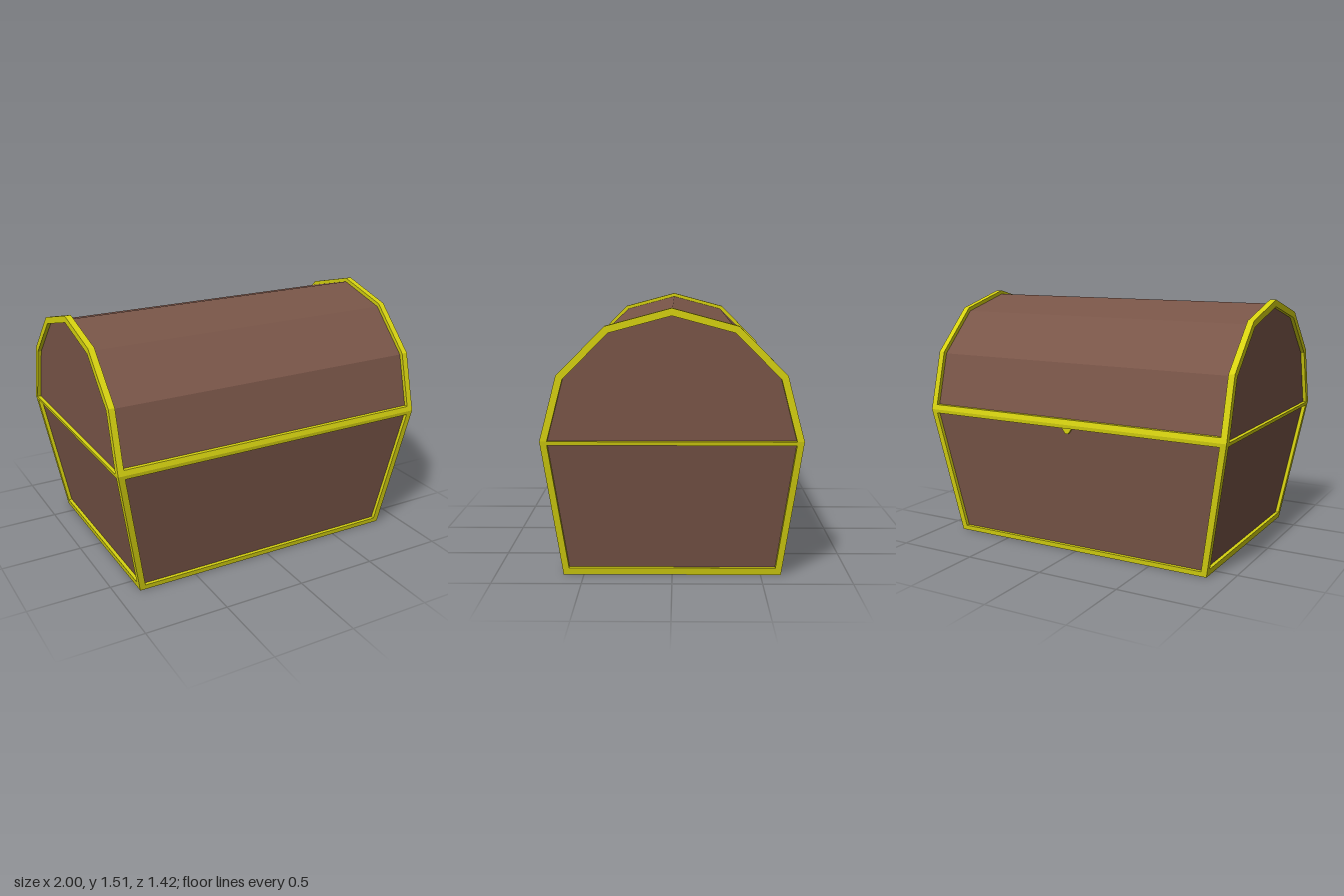
import * as THREE from 'three';

const WOOD = new THREE.MeshStandardMaterial({ color: 0x795548, flatShading: true });
const BRASS = new THREE.MeshStandardMaterial({ color: 0xd6d210, flatShading: true });

const W = 1, D = 0.71, H = 0.8;   // half width, half depth and height of the base rim
const T = 0.037;                  // trim width
const INSET = 0.022;              // how far the wood sits behind the trim

export function createModel() {
  const chest = new THREE.Group();
  chest.name = 'chest';

  const add = (parent, name, geometry, material) => {
    const mesh = new THREE.Mesh(geometry, material);
    mesh.name = name;
    parent.add(mesh);
    return mesh;
  };

  // Box given by its bounds at rim size, then tapered inwards towards the floor
  const taperedBox = (x0, x1, y0, y1, z0, z1) => {
    const g = new THREE.BoxGeometry(x1 - x0, y1 - y0, z1 - z0);
    g.translate((x0 + x1) / 2, (y0 + y1) / 2, (z0 + z1) / 2);
    const p = g.attributes.position;
    for (let i = 0; i < p.count; i++) {
      const k = 1 - p.getY(i) / H;
      p.setX(i, p.getX(i) - Math.sign(p.getX(i)) * 0.14 * k);
      p.setZ(i, p.getZ(i) - Math.sign(p.getZ(i)) * 0.095 * k);
    }
    g.computeVertexNormals();
    return g;
  };

  // Side profile (z, y) extruded along x between x0 and x1
  const alongX = (shape, x0, x1) => {
    const g = new THREE.ExtrudeGeometry(shape, { depth: x1 - x0, bevelEnabled: false });
    g.rotateY(Math.PI / 2);
    g.translate(x0, 0, 0);
    return g;
  };

  // Six-sided half round above the rim
  const arc = (r) => Array.from({ length: 7 }, (_, i) => {
    const a = (i * Math.PI) / 6;
    return new THREE.Vector2(r * Math.cos(a), H + r * Math.sin(a));
  });

  // Base: wooden body with trim on all twelve edges
  const base = new THREE.Group();
  base.name = 'base';
  chest.add(base);
  const bx = W - INSET, bz = D - INSET;
  add(base, 'baseBody', taperedBox(-bx, bx, 0.015, H - 0.002, -bz, bz), WOOD);
  for (const s of [-1, 1]) {
    const [z0, z1] = s > 0 ? [D - T, D] : [-D, -D + T];
    const [x0, x1] = s > 0 ? [W - T, W] : [-W, -W + T];
    add(base, 'bottomLongTrim', taperedBox(-W, W, 0, 0.03, z0, z1), BRASS);
    add(base, 'topLongTrim', taperedBox(-W, W, H - 0.022, H, z0, z1), BRASS);
    add(base, 'bottomSideTrim', taperedBox(x0, x1, 0, 0.042, -D, D), BRASS);
    add(base, 'topSideTrim', taperedBox(x0, x1, H - 0.022, H, -D, D), BRASS);
    for (const [a, b] of [[-W, -W + T], [W - T, W]]) {
      add(base, 'cornerTrim', taperedBox(a, b, 0, H, z0, z1), BRASS);
    }
  }

  // Lid: half-round wooden body
  const lid = new THREE.Group();
  lid.name = 'lid';
  chest.add(lid);
  add(lid, 'lidBody', alongX(new THREE.Shape(arc(D - 0.024)), -bx, bx), WOOD);

  // Lid end hoops
  const hoop = new THREE.Shape([...arc(D), ...arc(D - 0.04).reverse()]);
  add(lid, 'leftHoop', alongX(hoop, W - T, W), BRASS);
  add(lid, 'rightHoop', alongX(hoop, -W, -W + T), BRASS);

  // Lid lower strips, front and back
  for (const s of [-1, 1]) {
    const strip = new THREE.Shape([[D, H], [D - 0.008, H + 0.03], [D - 0.05, H + 0.03], [D - 0.05, H]]
      .map(([z, y]) => new THREE.Vector2(s * z, y)));
    add(lid, 'lidStrip', alongX(strip, -W + T, W - T), BRASS);
  }

  // Small tab under the back strip
  const tab = new THREE.Shape([[-0.04, 0.785], [-0.01, 0.745], [0.01, 0.745], [0.04, 0.785]]
    .map(([x, y]) => new THREE.Vector2(x, y)));
  const tabGeometry = new THREE.ExtrudeGeometry(tab, { depth: 0.03, bevelEnabled: false });
  tabGeometry.translate(0, 0, -D + 0.012);
  add(chest, 'backTab', tabGeometry, BRASS);

  return chest;
}
